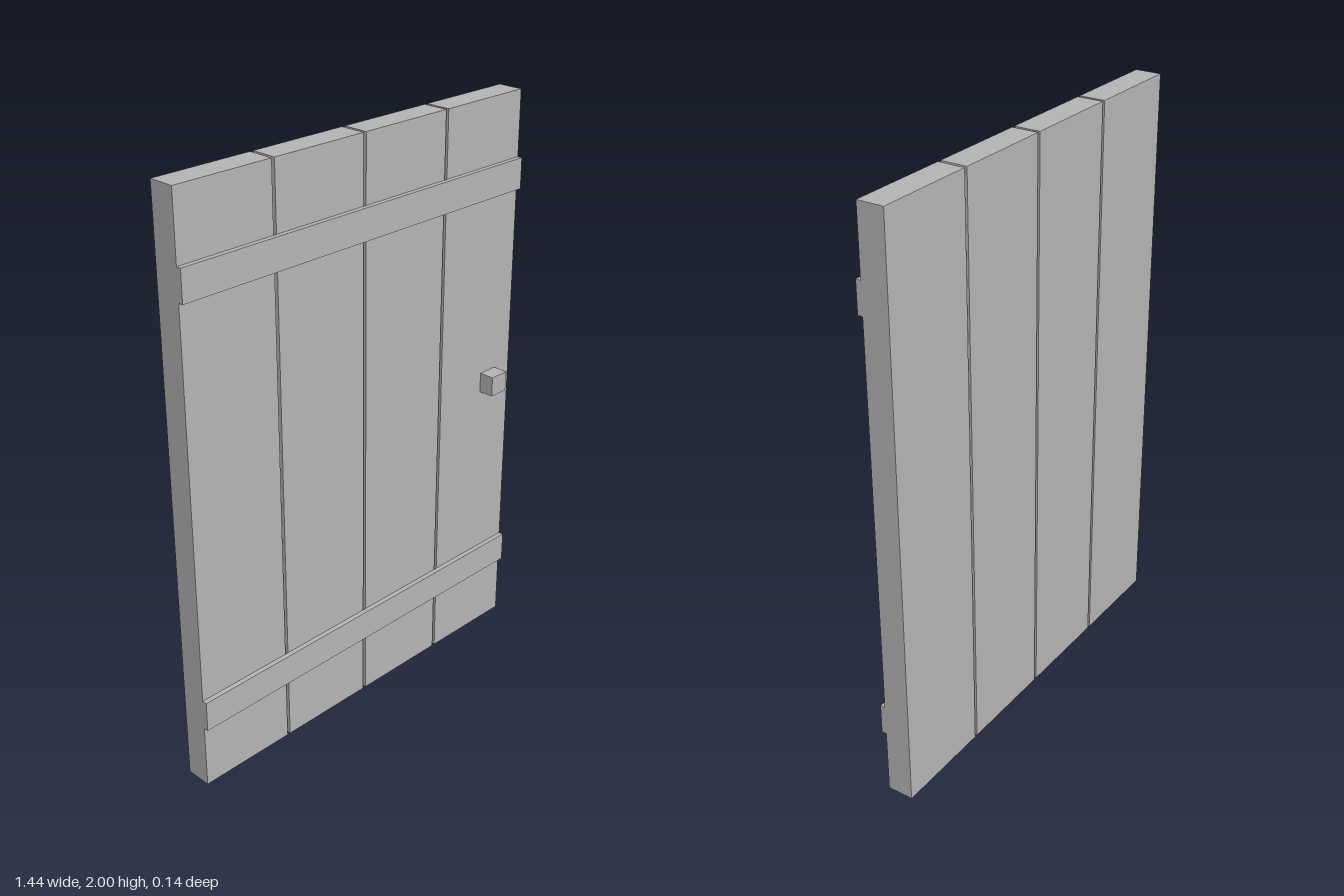
import * as THREE from 'three';

export function createModel() {
  const model = new THREE.Group();
  model.name = 'plankDoor';

  const wood = new THREE.MeshStandardMaterial({ color: 0xb3b3b3 });
  wood.name = 'plain grey';

  const addBox = (name, width, height, depth, x, y, z) => {
    const mesh = new THREE.Mesh(new THREE.BoxGeometry(width, height, depth), wood);
    mesh.name = name;
    mesh.position.set(x, y, z);
    model.add(mesh);
  };

  const doorWidth = 1.444, gap = 0.011, count = 4;
  const plankWidth = (doorWidth - gap * (count - 1)) / count;
  const plankDepth = 0.09, back = -0.072, face = back + plankDepth;

  // Upright planks with open gaps between them
  for (let i = 0; i < count; i++) {
    const x = (i - (count - 1) / 2) * (plankWidth + gap);
    addBox(`plank${i + 1}`, plankWidth, 2, plankDepth, x, 1, back + plankDepth / 2);
  }

  // Cross battens on the front
  const battenDepth = 0.017;
  for (const [name, y] of [['lowerBatten', 0.278], ['upperBatten', 1.722]]) {
    addBox(name, doorWidth, 0.106, battenDepth, 0, y, face + battenDepth / 2);
  }

  // Square knob
  const knobDepth = 0.054;
  addBox('knob', 0.073, 0.071, knobDepth, 0.611, 1, face + knobDepth / 2);

  return model;
}
